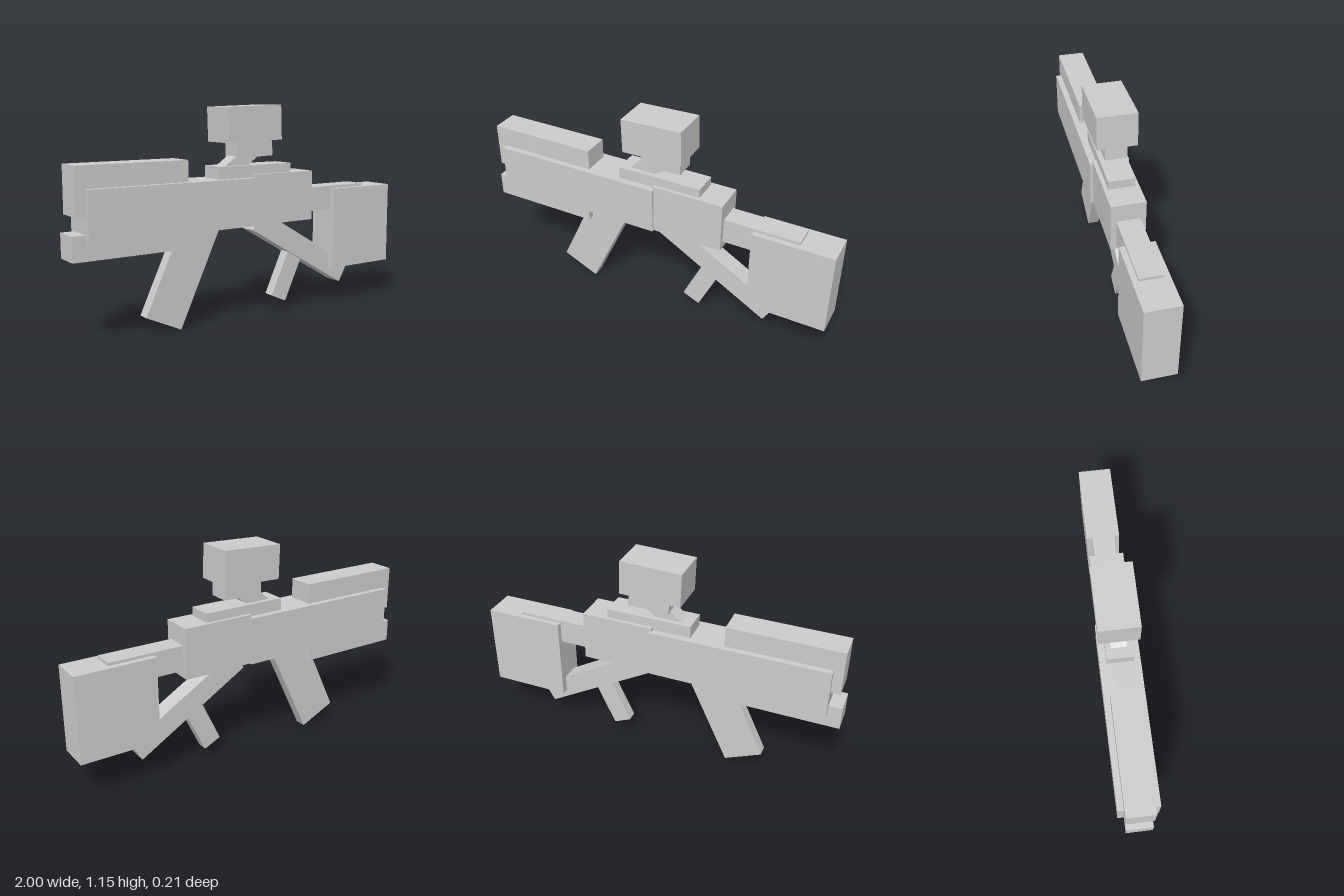
import * as THREE from 'three';

export function createModel() {
  const model = new THREE.Group();
  model.name = 'blockRifle';
  const material = new THREE.MeshStandardMaterial({ color: 0xcccccc, flatShading: true });

  // Box centred on z = 0, turned by a number of degrees about z
  function block(name, x, y, width, height, depth, degrees = 0) {
    const mesh = new THREE.Mesh(new THREE.BoxGeometry(width, height, depth), material);
    mesh.name = name;
    mesh.position.set(x, y, 0);
    mesh.rotation.z = THREE.MathUtils.degToRad(degrees);
    model.add(mesh);
  }

  // Upright box given by its extents
  function span(name, x0, x1, y0, y1, depth) {
    block(name, (x0 + x1) / 2, (y0 + y1) / 2, x1 - x0, y1 - y0, depth);
  }

  // Leaning bar given by the middle of its lower end
  function bar(name, x, y, width, length, depth, degrees) {
    const a = THREE.MathUtils.degToRad(degrees);
    block(name, x - Math.sin(a) * length / 2, y + Math.cos(a) * length / 2, width, length, depth, degrees);
  }

  // Main housings
  span('body', -0.93, 0.02, 0.515, 0.77, 0.21);
  span('receiver', 0.01, 0.405, 0.515, 0.787, 0.18);
  span('upperHousing', -0.98, -0.38, 0.64, 0.88, 0.147);
  span('lowerHousing', -1, -0.4, 0.43, 0.555, 0.14);

  // Front end
  span('connector', 0.38, 0.81, 0.555, 0.69, 0.12);
  span('endBlock', 0.567, 0.997, 0.215, 0.675, 0.18);

  // Sight on its tilted mount
  span('rail', -0.195, 0.27, 0.74, 0.835, 0.138);
  block('sightMount', -0.04, 0.853, 0.2, 0.083, 0.083, 35);
  block('sightBase', 0.04, 0.917, 0.225, 0.08, 0.115, 1.8);
  block('sight', 0.012, 1.053, 0.333, 0.184, 0.207, 1.8);

  // Grips and the diagonal brace
  bar('largeGrip', -0.507, 0.05, 0.221, 0.62, 0.064, -25);
  bar('smallGrip', 0.223, 0.076, 0.104, 0.3, 0.06, -25);
  block('brace', 0.373, 0.351, 0.72, 0.118, 0.1, -30.4);

  return model;
}
